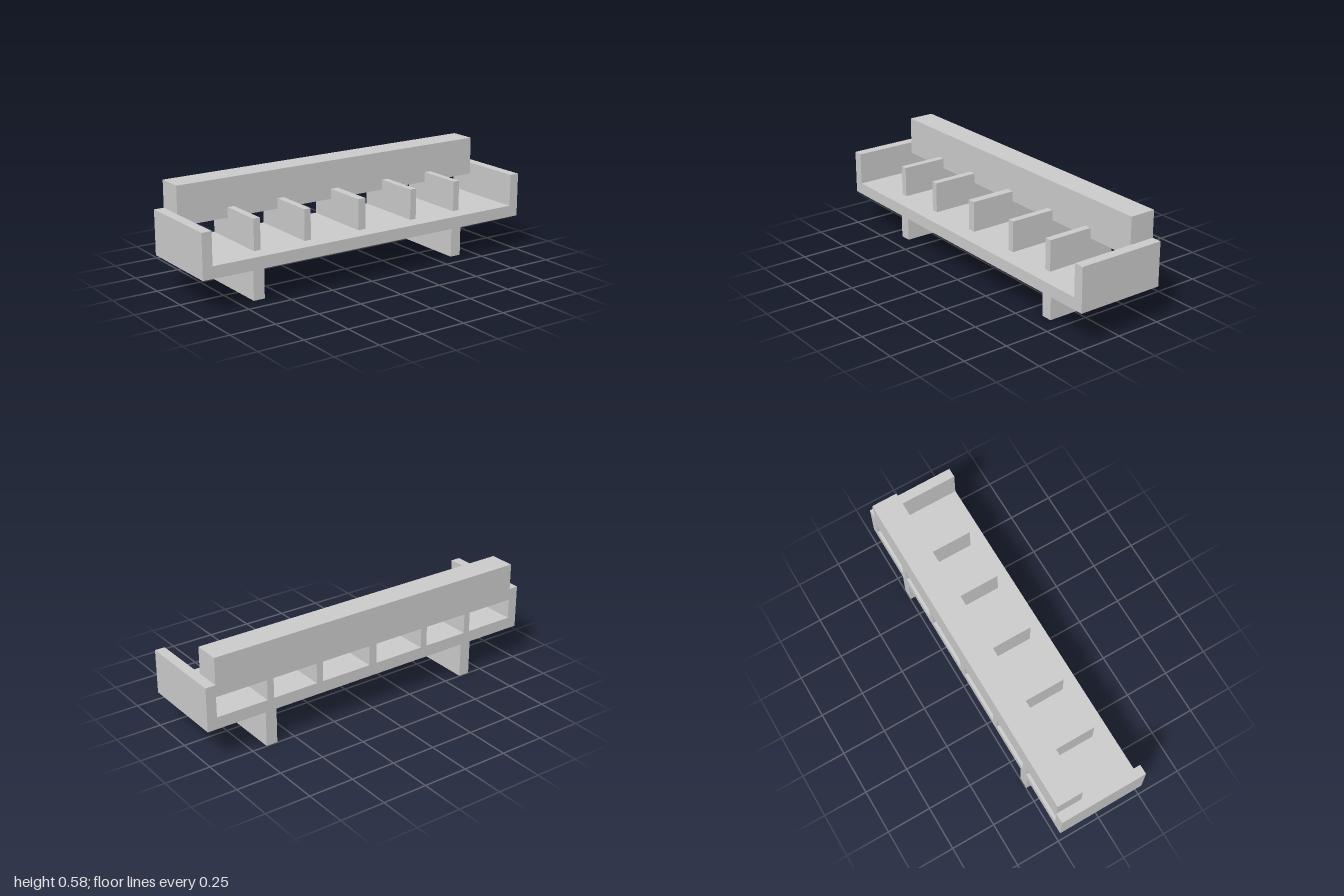
import * as THREE from 'three';

const BACK = -0.248, FRONT = 0.248;
const FLOOR = 0.195, SEAT = 0.26, ARM = 0.437, INNER = 0.945;
const material = new THREE.MeshStandardMaterial({ color: 0xcccccc, flatShading: true });

function outline(points) {
  return new THREE.Shape(points.map(([x, y]) => new THREE.Vector2(x, y)));
}

function extrude(points, depth) {
  return new THREE.ExtrudeGeometry(outline(points), { depth, bevelEnabled: false });
}

export function createModel() {
  const group = new THREE.Group();

  const add = (name, geometry) => {
    const mesh = new THREE.Mesh(geometry, material);
    mesh.name = name;
    group.add(mesh);
  };

  // Box given by its limits on each axis
  const box = (name, [x0, x1], [y0, y1], [z0, z1]) => {
    const geometry = new THREE.BoxGeometry(x1 - x0, y1 - y0, z1 - z0);
    geometry.translate((x0 + x1) / 2, (y0 + y1) / 2, (z0 + z1) / 2);
    add(name, geometry);
  };

  // Seat and both side arms as one U-shaped section
  const tray = extrude([
    [-1, FLOOR], [1, FLOOR], [1, ARM], [INNER, ARM],
    [INNER, SEAT], [-INNER, SEAT], [-INNER, ARM], [-1, ARM],
  ], FRONT - BACK);
  tray.translate(0, 0, BACK);
  add('seatWithArms', tray);

  // Backrest raised above the seat
  box('backrest', [-INNER, INNER], [0.372, 0.584], [BACK, -0.102]);

  // Dividers run under the backrest to the rear and step up in front of it
  const dividers = [[-0.639, 0.038], [-0.339, 0.038], [0, 0.046], [0.337, 0.038], [0.634, 0.038]];
  for (const [x, width] of dividers) {
    const geometry = extrude([
      [BACK, SEAT], [0.155, SEAT], [0.155, 0.428],
      [-0.102, 0.428], [-0.102, 0.372], [BACK, 0.372],
    ], width);
    geometry.rotateY(-Math.PI / 2);
    geometry.translate(x + width / 2, 0, 0);
    add('divider', geometry);
  }

  // Two slab legs
  for (const x of [-0.635, 0.635]) {
    box(x > 0 ? 'leftLeg' : 'rightLeg', [x - 0.032, x + 0.032], [0, FLOOR], [BACK, 0.159]);
  }

  return group;
}
